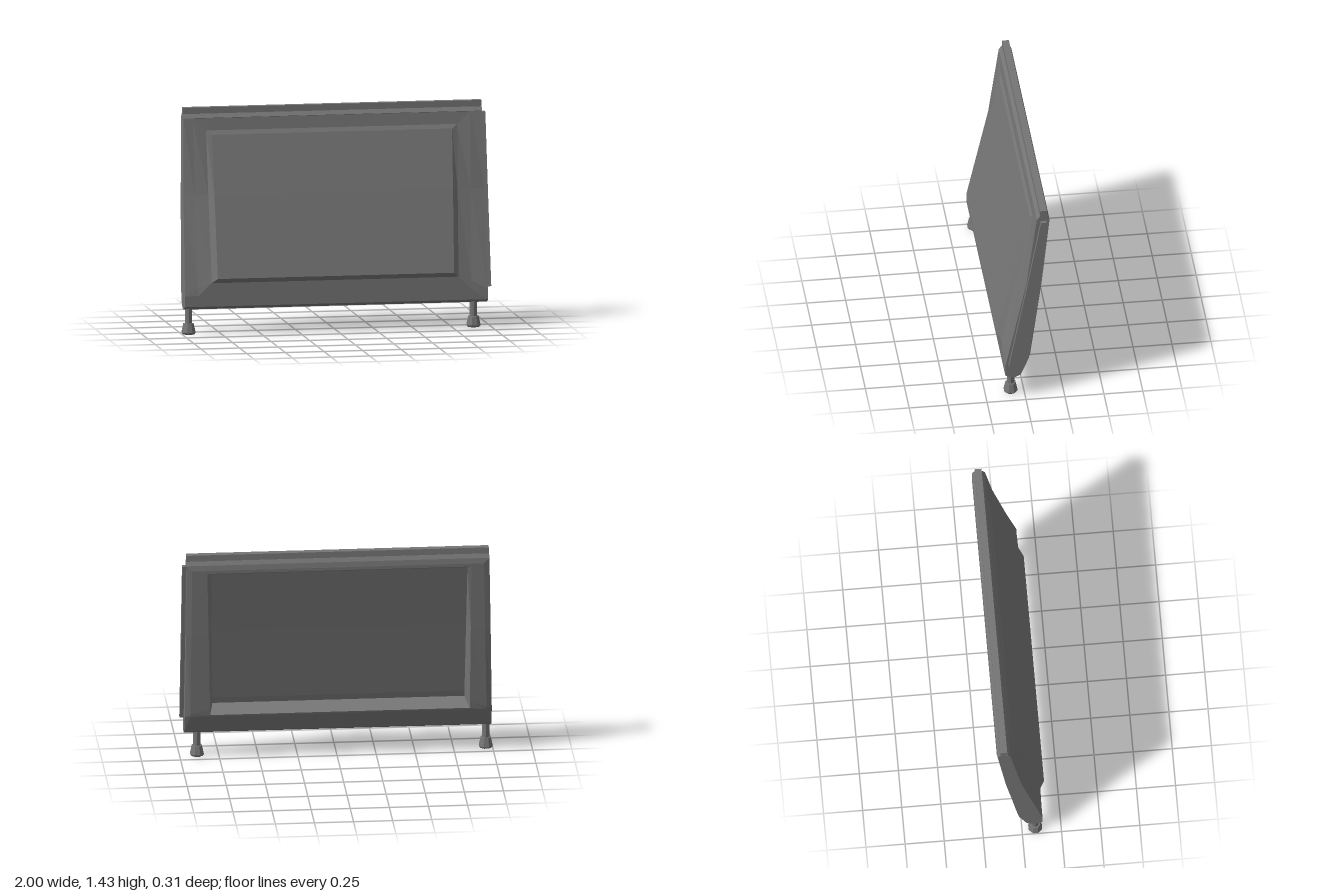
import * as THREE from 'three';

const darkGrey = () => new THREE.MeshStandardMaterial({ color: 0x757575, flatShading: true });

// Each ring runs around the panel: [half width (0 = outer rim, negative = inset from rim),
// bottom y, z, low y, z, middle z, top y, z]; order goes back recess -> rim -> front panel
const MID = 0.88;
const RINGS = [
  [0.82, 0.35, 0.085, 0.39, 0.073, -0.045, 1.305, -0.152],
  [0.845, 0.31, -0.033, 0.35, -0.04, -0.11, 1.31, -0.156],
  [-0.035, 0.30, -0.03, 0.32, -0.035, -0.11, 1.33, -0.158],
  [0, 0.18, 0.03, 0.30, -0.02, -0.103, 1.365, -0.154],
  [0, 0.16, 0.07, 0.29, 0.0, -0.08, 1.39, -0.14],
  [0, 0.16, 0.095, 0.27, 0.1, -0.03, 1.39, -0.092],
  [0, 0.18, 0.13, 0.25, 0.13, -0.006, 1.365, -0.073],
  [0.9, 0.25, 0.13, 0.30, 0.121, 0.002, 1.363, -0.074],
  [0.815, 0.33, 0.13, 0.40, 0.115, 0.01, 1.285, -0.067],
  [0.78, 0.36, 0.157, 0.40, 0.148, 0.038, 1.258, -0.053],
];

// Left and right x at a height: the -x rim leans, the panel narrows downward on the +x side
function sides(w, y) {
  const t = (y - 0.17) / 1.22;
  if (w <= 0) return [-(0.99 - 0.03 * t) - w, 0.975 + w];
  return [-w, w - 0.035 * (1 - t)];
}

function ringPoints([w, by, bz, ly, lz, mz, ty, tz]) {
  const rows = [[by, bz], [ly, lz], [MID, mz], [ty, tz]];
  const left = [], right = [];
  for (const [y, z] of rows) {
    const [l, r] = sides(w, y);
    left.push([l, y, z]);
    right.push([r, y, z]);
  }
  return [left[0], ...right, left[3], left[2], left[1]];
}

// Loft the rings and close both ends with the panel faces
function bodyGeometry() {
  const rings = RINGS.map(ringPoints);
  const pos = [];
  const quad = (a, b, c, d) => pos.push(...a, ...b, ...c, ...a, ...c, ...d);
  for (let k = 0; k + 1 < rings.length; k++) {
    const A = rings[k], B = rings[k + 1];
    for (let i = 0; i < 8; i++) {
      const j = (i + 1) % 8;
      quad(A[i], A[j], B[j], B[i]);
    }
  }
  const F = rings[rings.length - 1], R = rings[0];
  for (let i = 0; i < 3; i++) {
    const l0 = (8 - i) % 8, l1 = 7 - i, r0 = 1 + i, r1 = 2 + i;
    quad(F[l0], F[r0], F[r1], F[l1]);
    quad(R[l0], R[l1], R[r1], R[r0]);
  }
  const g = new THREE.BufferGeometry();
  g.setAttribute('position', new THREE.Float32BufferAttribute(pos, 3));
  g.computeVertexNormals();
  return g;
}

export function createModel() {
  const model = new THREE.Group();
  const add = (name, geometry, parent = model) => {
    const mesh = new THREE.Mesh(geometry, darkGrey());
    mesh.name = name;
    parent.add(mesh);
    return mesh;
  };

  add('panelBody', bodyGeometry());

  // Sealing strip along the top edge
  add('topStrip', new THREE.BoxGeometry(1.933, 0.05, 0.044)).position.set(0.0085, 1.405, -0.116);

  // Bent strip on the +x end, drawn as (z, y)
  const outline = [[0.11, 0.26], [-0.01, MID], [-0.097, 1.355], [-0.132, 1.355], [-0.055, MID], [0.075, 0.26]];
  const shape = new THREE.Shape(outline.map(([z, y]) => new THREE.Vector2(-z, y)));
  const strip = new THREE.ExtrudeGeometry(shape, { depth: 0.035, bevelEnabled: false });
  strip.rotateY(Math.PI / 2).translate(0.965, 0, 0);
  add('sideStrip', strip);

  // Two pegs with flared feet
  const foot = [[0, 0], [0.038, 0], [0.047, 0.012], [0.034, 0.07], [0, 0.07]].map(p => new THREE.Vector2(...p));
  for (const [name, x] of [['rightPeg', -0.957], ['leftPeg', 0.889]]) {
    const peg = new THREE.Group();
    peg.name = name;
    peg.position.set(x, 0, 0.085);
    add('pegStem', new THREE.CylinderGeometry(0.024, 0.024, 0.13, 8), peg).position.y = 0.125;
    add('pegFoot', new THREE.LatheGeometry(foot, 8), peg).rotation.y = Math.PI / 8;
    model.add(peg);
  }
  return model;
}
